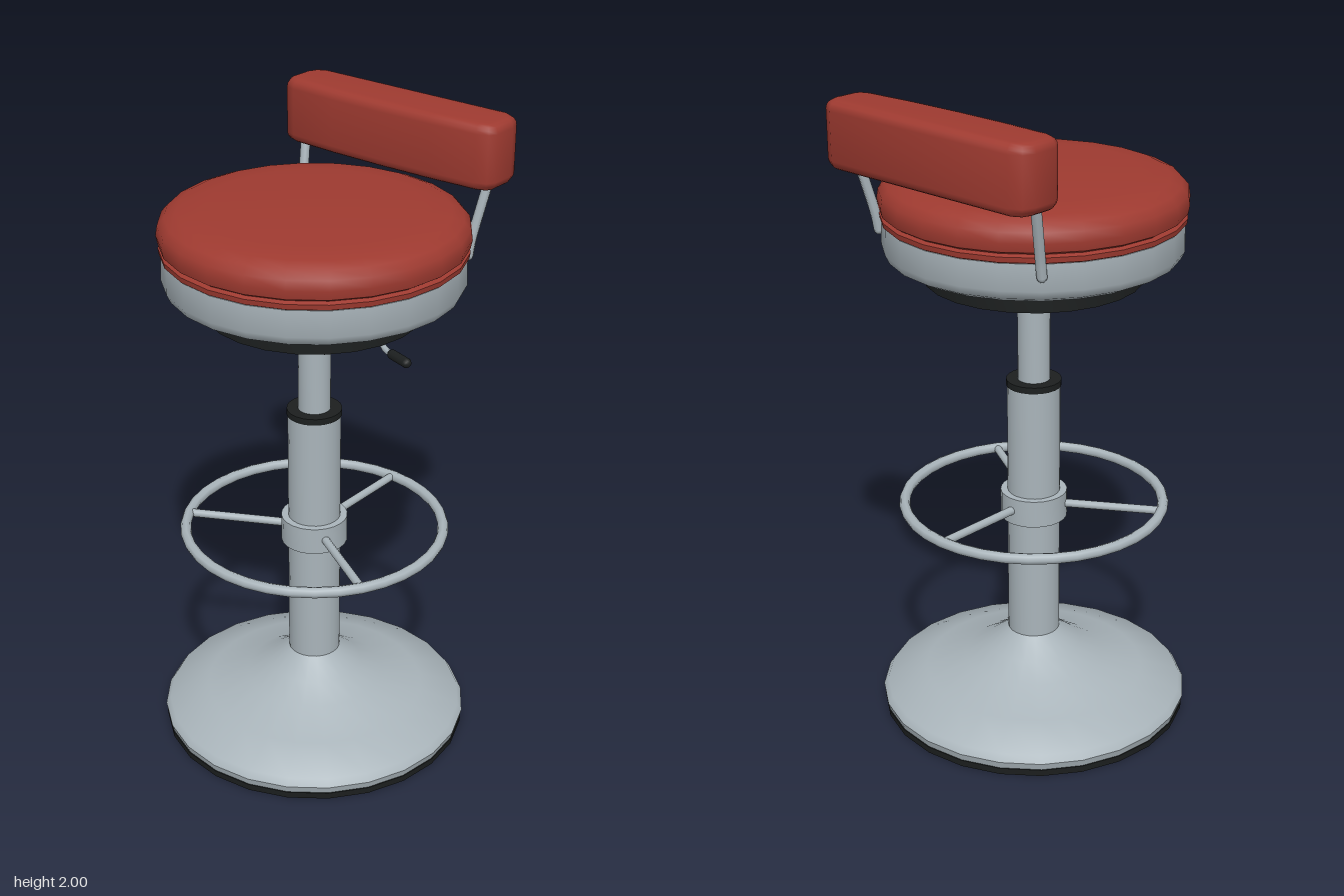
import * as THREE from 'three';
import { toCreasedNormals } from 'three/addons/utils/BufferGeometryUtils.js';

const material = (color) => new THREE.MeshStandardMaterial({ color });

export function createModel() {
  const stool = new THREE.Group();
  stool.name = 'barStool';
  const metal = material(0xa9b4ba);
  const black = material(0x1c1f1f);
  const red = material(0x9e3a30);
  const underside = material(0x50565a);

  function add(name, geometry, mat, parent = stool) {
    const mesh = new THREE.Mesh(geometry, mat);
    mesh.name = name;
    parent.add(mesh);
    return mesh;
  }
  // Turned part: profile of [radius, height] running from bottom to top
  function turned(name, profile, mat, segments = 24) {
    const points = profile.map(([r, y]) => new THREE.Vector2(r, y));
    return add(name, toCreasedNormals(new THREE.LatheGeometry(points, segments), 0.7), mat);
  }
  const drum = (name, r, y0, y1, mat) => turned(name, [[0, y0], [r, y0], [r, y1], [0, y1]], mat);

  // Straight rod between two points
  function rod(name, from, to, r, mat, parent = stool) {
    const a = new THREE.Vector3(...from), b = new THREE.Vector3(...to);
    const mesh = add(name, new THREE.CylinderGeometry(r, r, a.distanceTo(b), 10), mat, parent);
    mesh.position.copy(a).lerp(b, 0.5);
    mesh.quaternion.setFromUnitVectors(new THREE.Vector3(0, 1, 0), b.sub(a).normalize());
    return mesh;
  }

  // Flared base on a rubber foot
  turned('rubberFoot', [[0.455, 0], [0.485, 0], [0.487, 0.022], [0.455, 0.022]], black);
  turned('baseUnderside', [[0, 0.003], [0.46, 0.003]], underside);
  turned('base', [
    [0.47, 0.02], [0.484, 0.022], [0.49, 0.045], [0.475, 0.068], [0.35, 0.11],
    [0.22, 0.155], [0.15, 0.2], [0.1, 0.238], [0.082, 0.255],
  ], metal);

  // Telescopic column
  drum('outerColumn', 0.082, 0.2, 1.1, metal);
  drum('columnCap', 0.085, 1.095, 1.115, black);
  drum('gasPiston', 0.05, 1.1, 1.46, metal);

  // Foot ring on three spokes
  const footrest = new THREE.Group();
  footrest.name = 'footrest';
  stool.add(footrest);
  drum('footrestCollar', 0.104, 0.655, 0.742, metal);
  const ring = add('footRing', new THREE.TorusGeometry(0.405, 0.017, 8, 36), metal, footrest);
  ring.rotation.x = Math.PI / 2;
  ring.position.y = 0.705;
  for (let i = 0; i < 3; i++) {
    const a = -Math.PI / 2 + (i * Math.PI * 2) / 3;
    const c = Math.cos(a), s = Math.sin(a);
    rod('footrestSpoke', [c * 0.08, 0.7, s * 0.08], [c * 0.405, 0.705, s * 0.405], 0.013, metal, footrest);
  }

  // Seat: mounting plate, metal shell and cushion with a piping groove
  drum('mountingPlate', 0.33, 1.445, 1.51, black);
  turned('seatShell', [
    [0, 1.501], [0.36, 1.501], [0.405, 1.508], [0.438, 1.525],
    [0.45, 1.55], [0.448, 1.63], [0, 1.63],
  ], metal);
  turned('seatCushion', [
    [0, 1.63], [0.445, 1.63], [0.453, 1.634], [0.455, 1.65], [0.442, 1.656], [0.455, 1.664],
    [0.46, 1.69], [0.455, 1.72], [0.435, 1.742], [0.4, 1.756], [0.32, 1.765], [0, 1.769],
  ], red);

  // Backrest: gently bowed plan outline extruded upward with a soft bevel
  const bevel = 0.028;
  const half = [[0.34, 0.478], [0.377, 0.458], [0.39, 0.42], [0.39, 0.345], [0.376, 0.32], [0.34, 0.306], [0.18, 0.297]];
  const outline = [...half, [0, 0.294], ...half.slice().reverse().map(([x, d]) => [-x, d])];
  const shape = new THREE.Shape(outline.map(([x, d]) => new THREE.Vector2(x, d)));
  const back = new THREE.ExtrudeGeometry(shape, {
    depth: 0.2 - 2 * bevel, bevelEnabled: true, bevelThickness: bevel,
    bevelSize: bevel, bevelOffset: -bevel, bevelSegments: 4,
  });
  back.rotateX(-Math.PI / 2);
  add('backrest', toCreasedNormals(back, 0.8), red).position.y = 1.8 + bevel;

  // Bent struts carrying the backrest
  for (const side of [-1, 1]) {
    const path = new THREE.CatmullRomCurve3([
      [0.322, 1.595, -0.322], [0.324, 1.64, -0.33], [0.335, 1.73, -0.352], [0.348, 1.83, -0.378],
    ].map(([x, y, z]) => new THREE.Vector3(side * x, y, z)));
    add('backrestStrut', new THREE.TubeGeometry(path, 8, 0.015, 8), metal);
    const end = add('strutEnd', new THREE.SphereGeometry(0.015, 8, 6), metal);
    end.position.set(side * 0.322, 1.595, -0.322);
  }

  // Height lever with a black grip
  const leverPath = new THREE.CatmullRomCurve3([
    new THREE.Vector3(0.2, 1.455, 0.01), new THREE.Vector3(0.28, 1.44, 0.045),
    new THREE.Vector3(0.32, 1.43, 0.07), new THREE.Vector3(0.37, 1.43, 0.09),
  ]);
  add('leverRod', new THREE.TubeGeometry(leverPath, 10, 0.009, 8), metal);
  const grip = add('leverGrip', new THREE.CapsuleGeometry(0.015, 0.065, 4, 10), black);
  grip.position.set(0.39, 1.43, 0.095);
  grip.quaternion.setFromUnitVectors(new THREE.Vector3(0, 1, 0), new THREE.Vector3(0.96, 0, 0.28).normalize());

  return stool;
}
